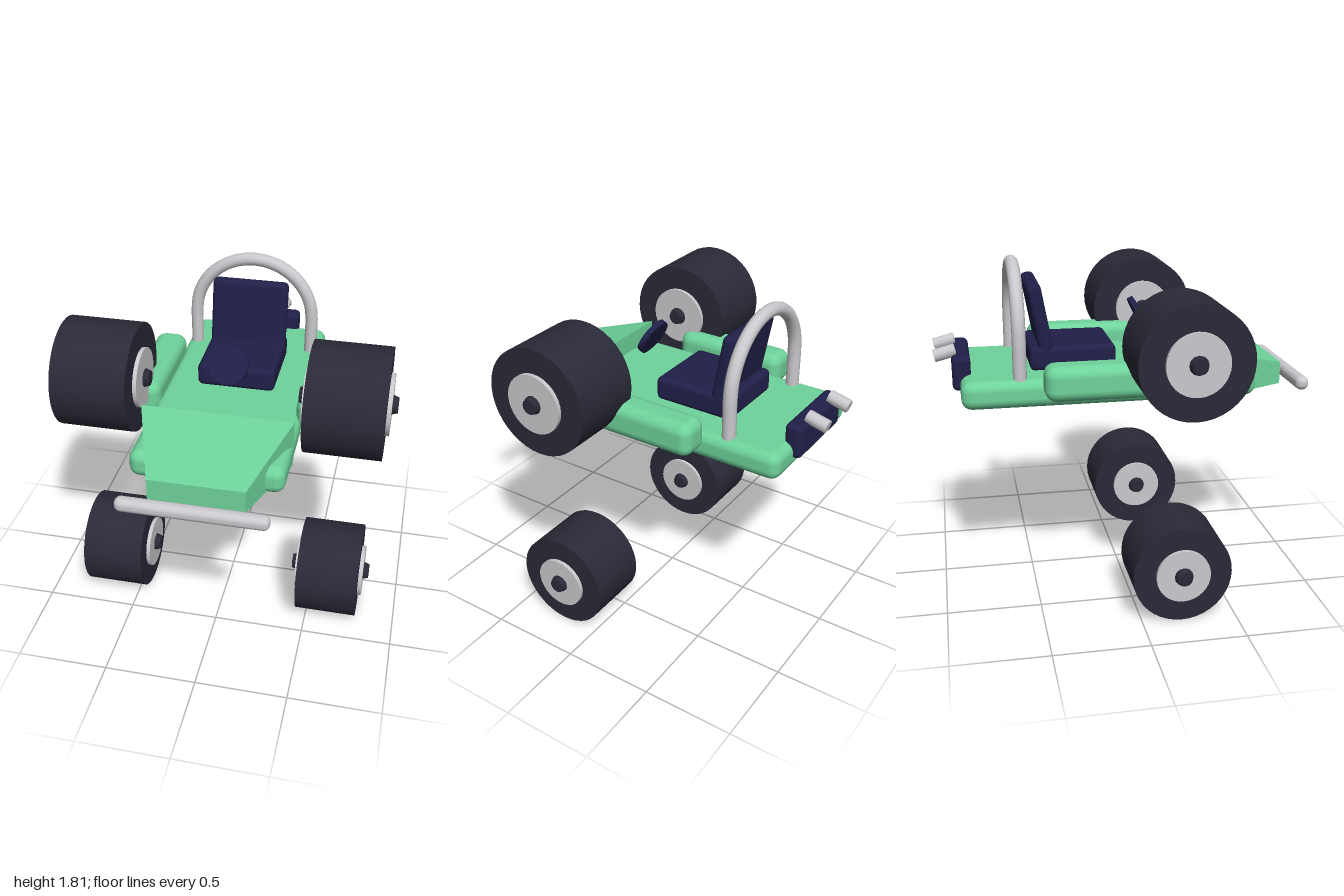
import * as THREE from 'three';
import { RoundedBoxGeometry } from 'three/addons/geometries/RoundedBoxGeometry.js';

const mat = (name, color) => {
  const m = new THREE.MeshStandardMaterial({ color });
  m.name = name;
  return m;
};

export function createModel() {
  const green = mat('bodyGreen', 0x6fd39b);
  const navy = mat('seatNavy', 0x20204a);
  const rubber = mat('tyreRubber', 0x2a2a38);
  const metal = mat('lightMetal', 0xcacace);

  const model = new THREE.Group();
  model.name = 'buggy';

  function add(name, geometry, material, x = 0, y = 0, z = 0, parent = model) {
    const mesh = new THREE.Mesh(geometry, material);
    mesh.name = name;
    mesh.position.set(x, y, z);
    parent.add(mesh);
    return mesh;
  }
  const rounded = (w, h, d, r) => new RoundedBoxGeometry(w, h, d, 3, r);

  // Deck
  add('deck', rounded(0.8, 0.15, 1.56, 0.055), green, 0, 1.155, -0.085);

  // Wedge nose: a box whose front end is narrowed and lowered
  const noseGeo = new THREE.BoxGeometry(2, 2, 2);
  const p = noseGeo.attributes.position;
  for (let i = 0; i < p.count; i++) {
    const front = p.getZ(i) > 0;
    const top = p.getY(i) > 0;
    p.setXYZ(
      i,
      p.getX(i) * (front ? 0.245 : 0.4),
      top ? (front ? 1.22 : 1.34) : (front ? 1.1 : 1.078),
      front ? 0.875 : 0.41
    );
  }
  noseGeo.computeVertexNormals();
  add('nose', noseGeo, green);

  // Seat, steering wheel and bumper
  add('seatCushion', rounded(0.43, 0.13, 0.46, 0.03), navy, 0, 1.29, -0.265);
  add('seatBack', rounded(0.43, 0.44, 0.075, 0.03), navy, 0, 1.47, -0.43).rotation.x = -0.18;
  add('steeringWheel', new THREE.CylinderGeometry(0.105, 0.105, 0.03, 24), navy, 0, 1.466, 0.128).rotation.x = 1.09;
  add('frontBumper', rounded(0.76, 0.074, 0.072, 0.032), metal, 0, 1.127, 0.964);

  // Roll hoop: straight legs joined by a half circle
  const R = 0.34;
  const path = [new THREE.Vector3(R, 1.21, 0), new THREE.Vector3(R, 1.32, 0)];
  for (let i = 0; i <= 12; i++) {
    const a = (i / 12) * Math.PI;
    path.push(new THREE.Vector3(R * Math.cos(a), 1.432 + R * Math.sin(a), 0));
  }
  path.push(new THREE.Vector3(-R, 1.32, 0), new THREE.Vector3(-R, 1.21, 0));
  add('rollHoop', new THREE.TubeGeometry(new THREE.CatmullRomCurve3(path), 48, 0.036, 12), metal, 0, 0, -0.562);

  // Engine block
  add('engine', rounded(0.46, 0.185, 0.097, 0.03), navy, 0, 1.233, -0.855);

  // One wheel on the side s: tyre, rim disc and tapered hub ends
  function addWheel(name, s, y, z, radius, inner, outer, rimRadius) {
    const wheel = new THREE.Group();
    wheel.name = name;
    wheel.position.set((s * (inner + outer)) / 2, y, z);
    model.add(wheel);
    const width = outer - inner;
    const turn = -Math.PI / 2;
    add('tyre', new THREE.CylinderGeometry(radius, radius, width, 40), rubber, 0, 0, 0, wheel).rotation.z = turn;
    add('rim', new THREE.CylinderGeometry(rimRadius, rimRadius, width + 0.042, 32), metal, 0, 0, 0, wheel).rotation.z = turn;
    for (const e of [-1, 1]) {
      const hub = new THREE.CylinderGeometry(0.04, 0.053, 0.04, 12);
      add('hub', hub, rubber, e * (width / 2 + 0.031), 0, 0, wheel).rotation.z = e * turn;
    }
  }

  // Mirrored parts
  for (const [s, side] of [[1, 'left'], [-1, 'right']]) {
    add(side + 'SidePod', rounded(0.18, 0.187, 0.65, 0.06), green, s * 0.46, 1.237, -0.125);

    const exhaust = new THREE.CylinderGeometry(0.035, 0.035, 0.115, 10);
    add(side + 'Exhaust', exhaust, metal, s * 0.123, 1.328, -0.936).rotation.x = -(Math.PI / 2 + 0.25);

    addWheel(side + 'UpperWheel', s, 1.404, 0.242, 0.29, 0.447, 0.847, 0.16);
    addWheel(side + 'LowerWheel', s, 0.261, 0.211, 0.261, 0.447, 0.785, 0.143);
  }

  return model;
}
